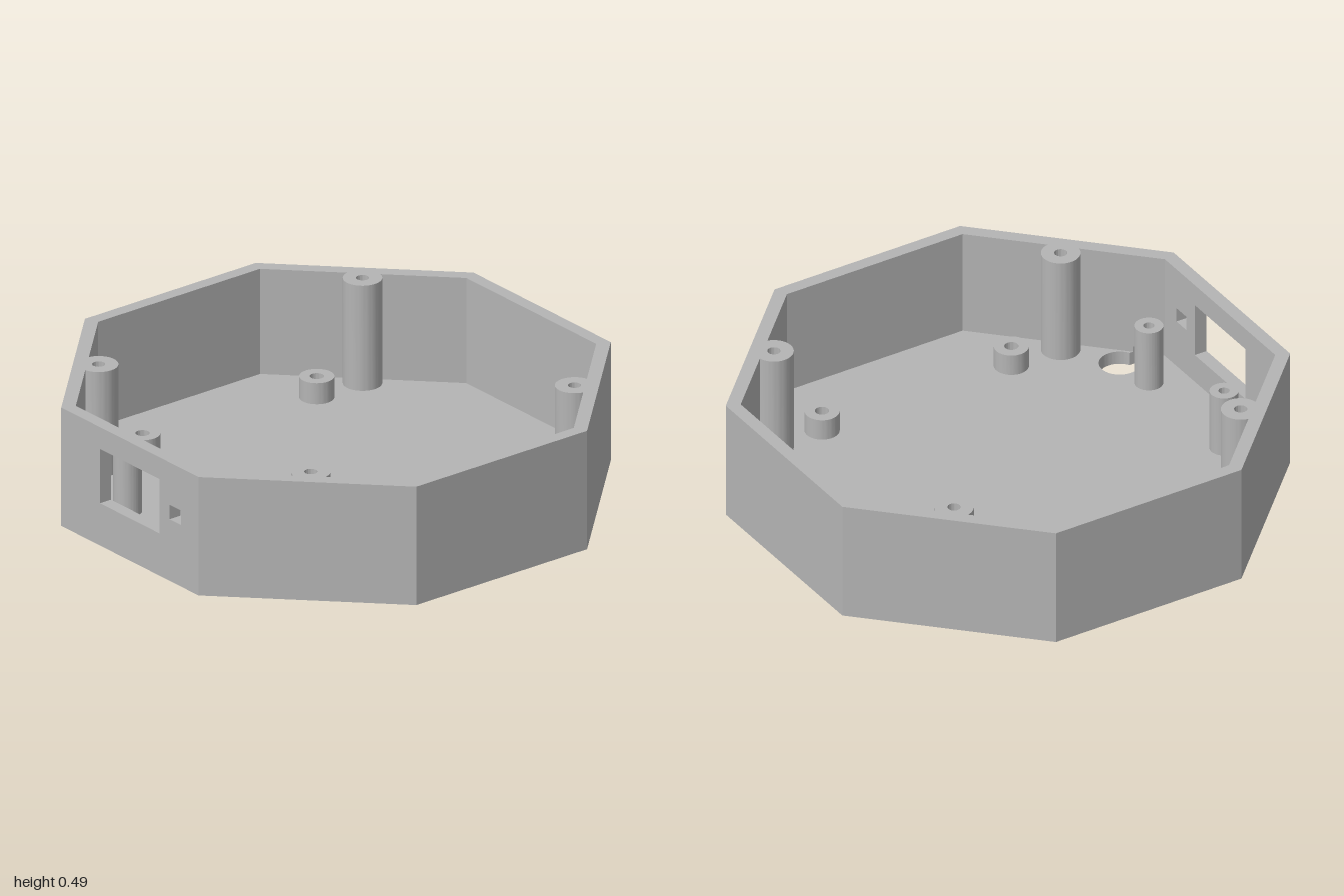
import * as THREE from 'three';
import { toCreasedNormals } from 'three/addons/utils/BufferGeometryUtils.js';

const HEIGHT = 0.49, FLOOR = 0.055, NOTCH_TOP = 0.08;
const INNER = 0.947; // distance from the middle to the inside of a wall

export function createModel() {
  const model = new THREE.Group();
  model.name = 'octagonalEnclosure';
  const grey = new THREE.MeshStandardMaterial({ color: 0xb4b4b4 });
  grey.name = 'grey plastic';

  // Octagon corners as [x, z], starting at the front left corner
  const octagon = (r) => {
    const h = r * Math.tan(Math.PI / 8);
    return [[h, r], [r, h], [r, -h], [h, -r], [-h, -r], [-r, -h], [-r, h], [-h, r]];
  };
  const outline = (points) => points.map(([x, z]) => new THREE.Vector2(x, -z));

  function add(name, geometry) {
    const mesh = new THREE.Mesh(toCreasedNormals(geometry, 0.5), grey);
    mesh.name = name;
    model.add(mesh);
    return mesh;
  }
  // Extrudes a plan shape upwards from y0 to y1
  function slab(name, shape, y0, y1) {
    const geometry = new THREE.ExtrudeGeometry(shape, { depth: y1 - y0, bevelEnabled: false, curveSegments: 32 });
    geometry.rotateX(-Math.PI / 2).translate(0, y0, 0);
    return add(name, geometry);
  }

  // Floor with two keyholes for hanging
  const floor = new THREE.Shape(outline(octagon(1)));
  for (const z of [-0.78, 0.775]) {
    const hole = new THREE.Path();
    hole.absarc(0.44, -z, 0.08, -Math.PI / 3, Math.PI * 4 / 3, false);
    hole.lineTo(0.4, -z - 0.155);
    hole.lineTo(0.48, -z - 0.155);
    hole.closePath();
    floor.holes.push(hole);
  }
  slab('floor', floor, 0, FLOOR);

  // Foot of the walls, notched where the front keyhole runs into it
  const inner = octagon(INNER);
  const notched = octagon(INNER);
  const sum = inner[0][0] + inner[0][1];
  notched.splice(1, 0, [sum - 0.93, 0.93], [0.48, 0.93], [0.48, sum - 0.48]);
  const foot = new THREE.Shape(outline(octagon(1)));
  foot.holes.push(new THREE.Path(outline(notched)));
  slab('wallFoot', foot, FLOOR, NOTCH_TOP);

  // Seven walls in one run, open at the front
  const edge = inner[0][0];
  const run = [[edge, 1], ...octagon(1), [-edge, 1], ...inner.slice().reverse()];
  slab('walls', new THREE.Shape(outline(run)), NOTCH_TOP, HEIGHT);

  // Front wall with display window and small port
  const rectangle = (Type, x0, x1, y0, y1) =>
    new Type([[x0, y0], [x1, y0], [x1, y1], [x0, y1]].map(([x, y]) => new THREE.Vector2(x, y)));
  const front = rectangle(THREE.Shape, -edge, edge, NOTCH_TOP, HEIGHT);
  front.holes.push(rectangle(THREE.Path, -0.18, 0.18, 0.175, 0.4));
  front.holes.push(rectangle(THREE.Path, 0.24, 0.31, 0.255, 0.315));
  const panel = new THREE.ExtrudeGeometry(front, { depth: 1 - INNER, bevelEnabled: false });
  add('frontWall', panel.translate(0, 0, INNER));

  // Hollow screw posts, mirrored left and right
  function posts(name, x, z, radius, bore, top) {
    for (const side of [-1, 1]) {
      const ring = new THREE.Shape().absarc(side * x, -z, radius, 0, Math.PI * 2, false);
      ring.holes.push(new THREE.Path().absarc(side * x, -z, bore, 0, Math.PI * 2, true));
      slab((side > 0 ? 'left' : 'right') + name, ring, FLOOR, top);
    }
  }
  posts('BackLidPost', 0.64, -0.643, 0.075, 0.025, HEIGHT);
  posts('FrontLidPost', 0.64, 0.637, 0.075, 0.025, HEIGHT);
  posts('BackBoardPost', 0.645, -0.425, 0.067, 0.027, 0.142);
  posts('FrontBoardPost', 0.645, 0.42, 0.067, 0.027, 0.142);
  posts('DisplayPost', 0.267, 0.797, 0.055, 0.021, 0.312);

  return model;
}
